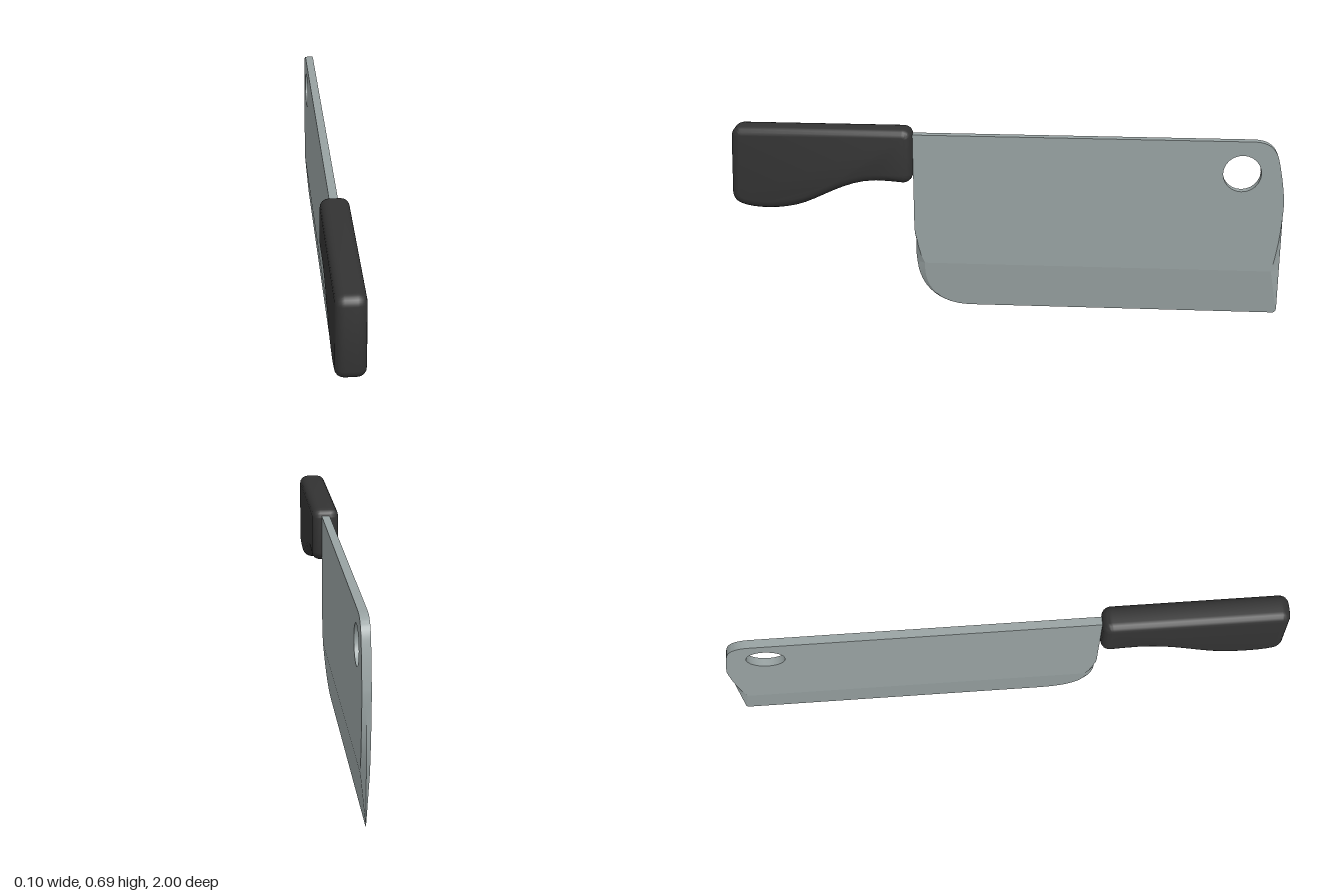
import * as THREE from 'three';
import { toCreasedNormals } from 'three/addons/utils/BufferGeometryUtils.js';

const HALF = 0.015;  // half the blade thickness
const SEAM = 0.17;   // height where the cutting bevel starts

// Extrudes a side profile drawn in (-z, y) and centres it on x = 0
function extrudeSide(shape, options) {
  const geo = new THREE.ExtrudeGeometry(shape, options);
  geo.translate(0, 0, -options.depth / 2);
  geo.rotateY(Math.PI / 2);
  return geo;
}

// How far the side faces step back from the ridge on the blade's ends
function ridgeInset(y, top) {
  if (y <= SEAM) return 0.03 * y / SEAM;
  const t = THREE.MathUtils.clamp((top - y) / (top - SEAM), 0, 1);
  return 0.03 * t * t;
}

// Thins the blade to its edge and leaves a ridge along both ends
function grind(geo) {
  const p = geo.attributes.position;
  for (let i = 0; i < p.count; i++) {
    const x = p.getX(i), y = p.getY(i), z = p.getZ(i);
    if (Math.abs(x) < 0.001) continue;
    if (z < -0.95) p.setZ(i, z + ridgeInset(y, 0.45));
    else if (z > 0.1) p.setZ(i, z - ridgeInset(y, 0.32));
    p.setX(i, x * Math.min(1, Math.max(0, y / SEAM)));
  }
  return toCreasedNormals(geo, 0.4);
}

export function createModel() {
  const steel = new THREE.MeshStandardMaterial({ color: 0x98a2a2 });
  steel.name = 'steel grey';
  const black = new THREE.MeshStandardMaterial({ color: 0x333333 });
  black.name = 'handle black';

  const model = new THREE.Group();
  model.name = 'cleaver';
  const add = (name, geo, material) => {
    const mesh = new THREE.Mesh(geo, material);
    mesh.name = name;
    model.add(mesh);
  };

  // Flat upper blade with the hanging hole
  const upper = new THREE.Shape();
  upper.moveTo(-0.328, SEAM);
  upper.lineTo(1, SEAM);
  for (const y of [0.2, 0.24, 0.28, 0.32, 0.36, 0.4, 0.44]) upper.lineTo(1, y);
  upper.quadraticCurveTo(0.99, 0.53, 0.972, 0.6);
  upper.bezierCurveTo(0.96, 0.645, 0.93, 0.665, 0.88, 0.665);
  upper.lineTo(-0.335, 0.665);
  for (const y of [0.32, 0.29, 0.26, 0.23, 0.2]) upper.lineTo(y > 0.28 ? -0.335 : -0.331, y);
  upper.closePath();
  const hole = new THREE.Path();
  hole.absarc(0.845, 0.545, 0.068, 0, Math.PI * 2, true);
  upper.holes.push(hole);
  const flat = { depth: HALF * 2, steps: 2, bevelEnabled: false, curveSegments: 12 };
  add('blade', grind(extrudeSide(upper, flat)), steel);

  // Wedge shaped cutting edge with a rounded heel
  const lower = new THREE.Shape();
  lower.moveTo(-0.328, SEAM);
  lower.bezierCurveTo(-0.318, 0.06, -0.24, 0, -0.13, 0);
  lower.lineTo(0.985, 0);
  lower.quadraticCurveTo(1, 0, 1, 0.02);
  lower.lineTo(1, SEAM);
  lower.closePath();
  add('cuttingEdge', grind(extrudeSide(lower, flat)), steel);

  // Handle: rounded grip with a swelling butt
  const grip = new THREE.Shape();
  grip.moveTo(-0.371, 0.662);
  grip.lineTo(-0.95, 0.662);
  grip.quadraticCurveTo(-0.96, 0.662, -0.961, 0.65);
  grip.lineTo(-0.97, 0.44);
  grip.quadraticCurveTo(-0.97, 0.425, -0.955, 0.42);
  grip.bezierCurveTo(-0.92, 0.405, -0.82, 0.4, -0.74, 0.43);
  grip.bezierCurveTo(-0.65, 0.465, -0.56, 0.535, -0.42, 0.52);
  grip.lineTo(-0.371, 0.516);
  grip.quadraticCurveTo(-0.363, 0.516, -0.363, 0.526);
  grip.lineTo(-0.363, 0.655);
  grip.quadraticCurveTo(-0.363, 0.662, -0.371, 0.662);
  const handle = extrudeSide(grip, {
    depth: 0.04, bevelThickness: 0.03, bevelSize: 0.028, bevelSegments: 4, curveSegments: 8,
  });
  add('handle', toCreasedNormals(handle, 0.8), black);

  return model;
}
